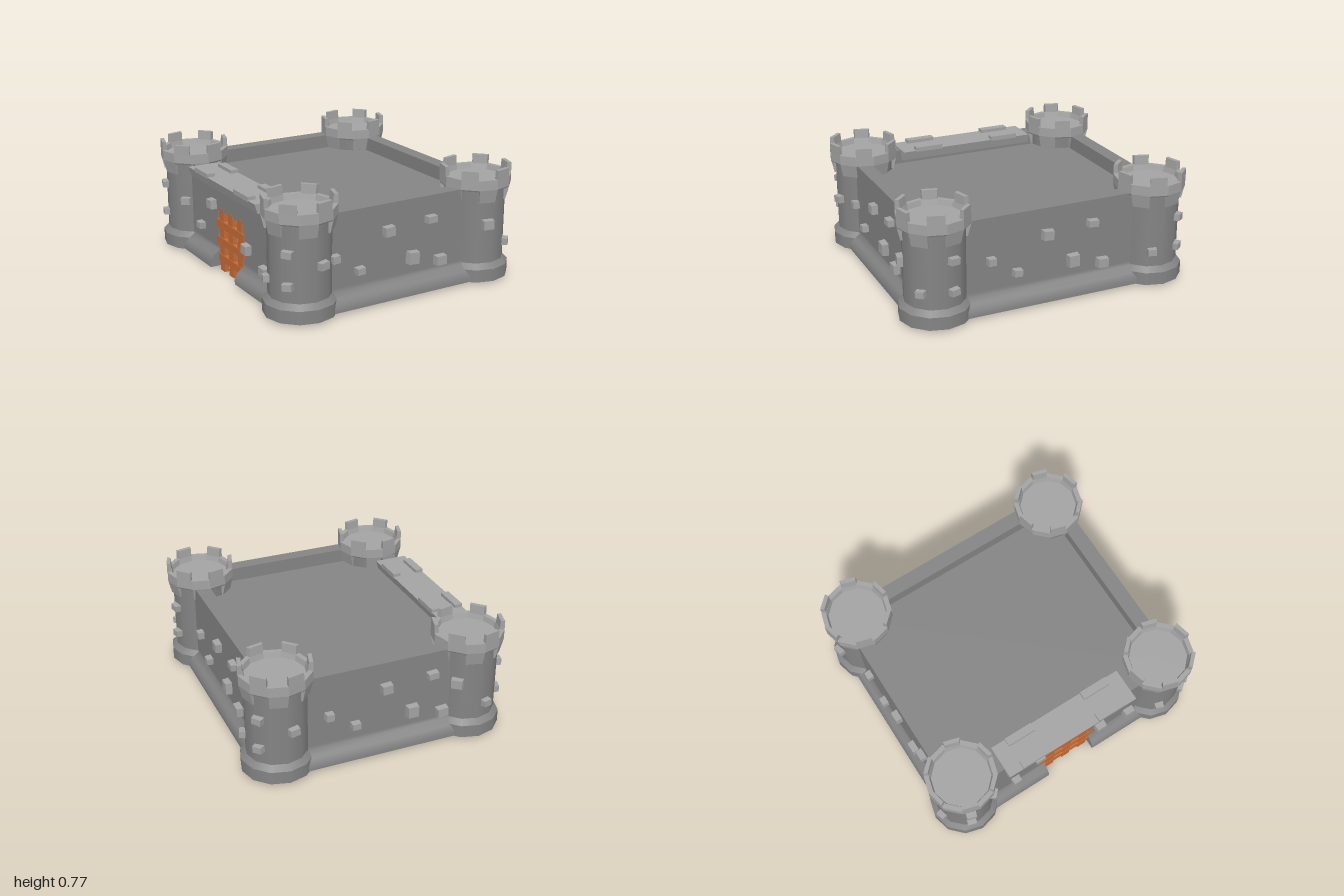
import * as THREE from 'three';
import { toCreasedNormals } from 'three/addons/utils/BufferGeometryUtils.js';

const wallMat = new THREE.MeshStandardMaterial({ color: 0x848484 });
const trimMat = new THREE.MeshStandardMaterial({ color: 0xa3a3a3 });
const gateMat = new THREE.MeshStandardMaterial({ color: 0xc46b36 });

function add(parent, name, geometry, material, x = 0, y = 0, z = 0) {
  const mesh = new THREE.Mesh(geometry, material);
  mesh.name = name;
  mesh.position.set(x, y, z);
  parent.add(mesh);
  return mesh;
}

function box(parent, name, material, x0, x1, y0, y1, z0, z1) {
  return add(parent, name, new THREE.BoxGeometry(x1 - x0, y1 - y0, z1 - z0), material,
    (x0 + x1) / 2, (y0 + y1) / 2, (z0 + z1) / 2);
}

// Move the corners of a unit box by a rule, keeping its faces flat
function reshape(rule) {
  const geo = new THREE.BoxGeometry(1, 1, 1);
  const p = geo.attributes.position;
  for (let i = 0; i < p.count; i++) p.setXYZ(i, ...rule(p.getX(i) + 0.5, p.getY(i) + 0.5, p.getZ(i) + 0.5));
  geo.computeVertexNormals();
  return geo;
}

// One facet of a ring: [bottom, top] of inner radius, outer radius and height
function sector(i, inner, outer, height, span = 1) {
  return reshape((u, v, w) => {
    const a = (i + u * span) * Math.PI / 6;
    const r = THREE.MathUtils.lerp(...(w < 0.5 ? inner : outer), v);
    return [Math.sin(a) * r, THREE.MathUtils.lerp(...height, v), Math.cos(a) * r];
  });
}

// Protruding chamfered stone, facing +z
function stone(parent, x, y, z, w, h) {
  const geo = reshape((u, v, d) => {
    const s = d > 0.5 ? 0.86 : 1;
    return [(u - 0.5) * w * s, (v - 0.5) * h * s, d > 0.5 ? 0.044 : -0.03];
  });
  add(parent, 'stone', geo, trimMat, x, y, z).rotation.z = Math.sin(x * 37 + y * 53) * 0.08;
}

// Straight wall with a softly flared foot on both sides
function wallGeometry(length) {
  const outline = [
    [0.118, 0.023], [0.118, 0.06], [0.095, 0.1], [0.05, 0.135], [0.05, 0.16], [0.05, 0.645],
    [-0.05, 0.645], [-0.05, 0.16], [-0.05, 0.135], [-0.085, 0.1], [-0.1, 0.06], [-0.1, 0.023],
  ];
  const shape = new THREE.Shape(outline.map(([d, y]) => new THREE.Vector2(d, y)));
  const geo = new THREE.ExtrudeGeometry(shape, { depth: length, bevelEnabled: false });
  return toCreasedNormals(geo.translate(0, 0, -length / 2).rotateY(-Math.PI / 2), 1);
}

// Along the wall, height, width, height of stone
const wallStones = [
  [-0.49, 0.36, 0.06, 0.055], [-0.31, 0.25, 0.065, 0.05], [-0.10, 0.47, 0.08, 0.07],
  [0.085, 0.26, 0.085, 0.09], [0.22, 0.495, 0.08, 0.05], [0.30, 0.205, 0.085, 0.07],
];
const gateStones = [
  [-0.42, 0.25, 0.065, 0.05], [-0.24, 0.45, 0.08, 0.07],
  [0.26, 0.28, 0.08, 0.07], [0.5, 0.205, 0.08, 0.07],
];

function side(root, name, x, z, turn, stones, shift) {
  const group = new THREE.Group();
  group.name = name;
  group.position.set(x, 0, z);
  group.rotation.y = turn;
  root.add(group);
  for (const [u, y, w, h] of stones) stone(group, u + shift, y, 0.05, w, h);
  return group;
}

// Angle in degrees, height, width, height of stone
const towerStones = [
  [-12, 0.41, 0.085, 0.07], [45, 0.25, 0.065, 0.05], [104, 0.455, 0.075, 0.05],
  [104, 0.25, 0.07, 0.05], [167, 0.37, 0.075, 0.055],
];

function tower(root, x, z, turn) {
  const group = new THREE.Group();
  group.name = 'tower';
  group.position.set(x, 0, z);
  root.add(group);
  const drum = (name, rTop, rBottom, y0, y1, material = wallMat) =>
    add(group, name, new THREE.CylinderGeometry(rTop, rBottom, y1 - y0, 12), material, 0, (y0 + y1) / 2);
  drum('towerFoot', 0.235, 0.235, 0.02, 0.105);
  drum('towerFootSlope', 0.2, 0.235, 0.105, 0.14);
  drum('towerBody', 0.2, 0.2, 0.13, 0.65);
  drum('towerFloor', 0.205, 0.205, 0.64, 0.675, trimMat);
  // Crown: rim, alternating merlons and corbels
  for (let i = 0; i < 12; i++) {
    add(group, 'rim', sector(i, [0.185, 0.203], [0.235, 0.235], [0.645, 0.71]), trimMat);
    if (i % 2 === 0) {
      add(group, 'merlon', sector(i, [0.203, 0.208], [0.235, 0.235], [0.71, 0.77], 0.91), trimMat);
      add(group, 'rimEdge', sector(i, [0.18, 0.18], [0.228, 0.235], [0.635, 0.645]), trimMat);
    } else {
      add(group, 'corbel', sector(i, [0.18, 0.18], [0.213, 0.235], [0.555, 0.645]), trimMat);
    }
  }
  for (const [deg, y, w, h] of towerStones) {
    const arm = new THREE.Group();
    arm.name = 'towerStone';
    arm.rotation.y = THREE.MathUtils.degToRad(deg + turn);
    group.add(arm);
    stone(arm, 0, y, 0.188, w, h);
  }
}

export function createModel() {
  const root = new THREE.Group();
  root.name = 'castle';

  // Plain walls
  const front = side(root, 'frontWall', 0, 0.817, 0, wallStones, 0);
  const back = side(root, 'backWall', 0, -0.82, Math.PI, wallStones, 0.13);
  const left = side(root, 'leftWall', 0.708, 0, Math.PI / 2, wallStones, 0.065);
  add(front, 'wall', wallGeometry(1.3), wallMat);
  add(back, 'wall', wallGeometry(1.3), wallMat);
  add(left, 'wall', wallGeometry(1.5), wallMat);

  // Gate wall with opening, walkway and low merlons
  const gateWall = side(root, 'gateWall', -0.706, 0, -Math.PI / 2, gateStones, 0);
  side(root, 'gateWallInside', -0.706, 0, Math.PI / 2, [[-0.56, 0.27, 0.06, 0.05]], 0);
  for (const s of [-1, 1]) {
    add(gateWall, 'wall', wallGeometry(0.57), wallMat, s * 0.465);
    for (const [z0, z1] of [[-0.115, -0.06], [0.06, 0.115]]) {
      box(gateWall, 'gateMerlon', trimMat, s * 0.292 - 0.105, s * 0.292 + 0.095, 0.64, 0.672, z0, z1);
    }
  }
  box(gateWall, 'lintel', wallMat, -0.19, 0.19, 0.42, 0.645, -0.05, 0.05);
  add(gateWall, 'walkway', reshape((u, v, w) =>
    [(u - 0.5) * 0.98 - 0.01, 0.585 + v * 0.064, (w - 0.5) * (v > 0.5 ? 0.23 : 0.19)]), trimMat);

  // Portcullis
  const gate = new THREE.Group();
  gate.name = 'portcullis';
  gateWall.add(gate);
  for (const x of [-0.133, 0, 0.133]) {
    box(gate, 'verticalBar', gateMat, x - 0.032, x + 0.032, 0, 0.44, 0.02, 0.052);
  }
  for (const y of [0.09, 0.21, 0.33]) {
    box(gate, 'crossBar', gateMat, -0.2, 0.2, y - 0.026, y + 0.026, 0.024, 0.056);
  }

  // Courtyard deck, hollow below
  box(root, 'courtyardFloor', wallMat, -0.68, 0.68, 0.51, 0.55, -0.79, 0.79);

  tower(root, 0.66, 0.76, 0);
  tower(root, -0.665, 0.76, -154);
  tower(root, 0.665, -0.765, 24);
  tower(root, -0.655, -0.765, 150);
  return root;
}
